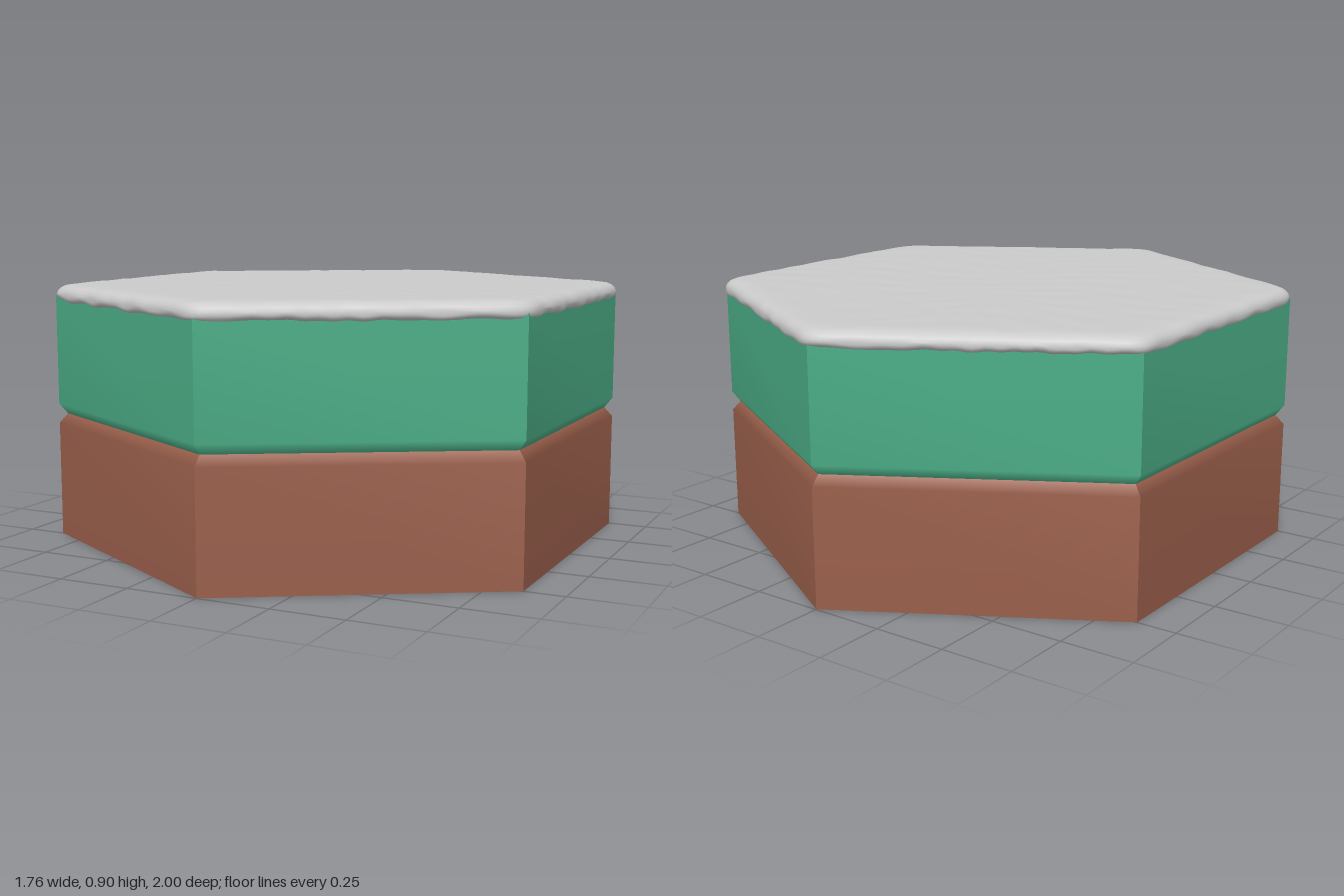
import * as THREE from 'three';
import { mergeGeometries, mergeVertices } from 'three/addons/utils/BufferGeometryUtils.js';

const RADIUS = 0.998;

// Hexagonal prism wall: each side is its own strip, so corners stay sharp
// while the shading runs smoothly up the profile.
function hexWall(profile) {
  const points = profile.map(([r, y]) => new THREE.Vector2(r, y));
  const sides = [];
  for (let i = 0; i < 6; i++) {
    const side = new THREE.LatheGeometry(points, 1, (i * Math.PI) / 3, Math.PI / 3);
    side.computeVertexNormals();
    sides.push(side);
  }
  return mergeGeometries(sides);
}

// Distance from the axis to the outline of a hexagon with softened corners
function hexRadius(angle, apothem) {
  let sum = 0;
  for (let i = 0; i < 6; i++) {
    const c = Math.cos(angle - Math.PI / 6 - (i * Math.PI) / 3);
    if (c > 0) sum += Math.pow(c, 44);
  }
  return apothem * Math.pow(sum, -1 / 44);
}

// Irregular but repeatable bumps, roughly -1 to 1
function bumps(x, y, z, f) {
  const wx = x + 0.08 * Math.sin(7 * z + 1.3);
  const wz = z + 0.08 * Math.sin(6 * x + 0.4);
  return (
    0.4 * Math.sin(f * wx + 2.1 + 9 * y) * Math.cos(f * 0.9 * wz + 0.7) +
    0.35 * Math.sin(f * 1.7 * wz + f * 0.6 * wx + 4.2) +
    0.25 * Math.sin(f * 2.3 * wx - f * 1.3 * wz + 12 * y)
  );
}

// Thin lumpy sheet with a rounded, overhanging rim
function capGeometry() {
  const profile = [
    [0.92, 0.845], [0.965, 0.838], [0.985, 0.836], [0.996, 0.842], [1, 0.852],
    [0.999, 0.863], [0.994, 0.874], [0.982, 0.884], [0.965, 0.89], [0.94, 0.893],
  ];
  for (let i = 30; i >= 0; i--) profile.push([(i / 31) * 0.94, 0.894]);
  let geometry = new THREE.LatheGeometry(profile.map(([r, y]) => new THREE.Vector2(r, y)), 300);
  const p = geometry.attributes.position;
  for (let i = 0; i < p.count; i++) {
    const x = p.getX(i), y = p.getY(i), z = p.getZ(i);
    const r = Math.hypot(x, z);
    const angle = Math.atan2(x, z);
    // rim wobble fades out toward the middle
    const rim = THREE.MathUtils.smoothstep(r, 0.85, 0.98);
    const wobble = rim * 0.005 * bumps(x, y, z, 17);
    const scale = hexRadius(angle, 0.878) + wobble;
    const lift = y < 0.86 ? 0.006 * bumps(x, 0, z, 21) : 0.0014 * bumps(x, 0, z, 24);
    p.setXYZ(i, x * scale, y + lift, z * scale);
  }
  geometry.deleteAttribute('normal');
  geometry.deleteAttribute('uv');
  geometry = mergeVertices(geometry, 1e-5);
  geometry.computeVertexNormals();
  return geometry;
}

export function createModel() {
  const model = new THREE.Group();
  const add = (name, geometry, color) => {
    const mesh = new THREE.Mesh(geometry, new THREE.MeshStandardMaterial({ color }));
    mesh.name = name;
    model.add(mesh);
    return mesh;
  };

  // Lower block, chamfered at its top edge
  const brown = 0x9a5f4b;
  add('lowerBlock', hexWall([[RADIUS, 0], [RADIUS, 0.402], [0.968, 0.435]]), brown);
  const base = add('baseFace', new THREE.CircleGeometry(RADIUS, 6, Math.PI / 2), brown);
  base.rotation.x = Math.PI / 2;

  // Upper block, chamfered at its bottom edge
  add('upperBlock', hexWall([[0.968, 0.435], [RADIUS, 0.47], [RADIUS, 0.855]]), 0x4caf88);

  // Lumpy top sheet
  add('topLayer', capGeometry(), 0xcccccc);

  return model;
}
